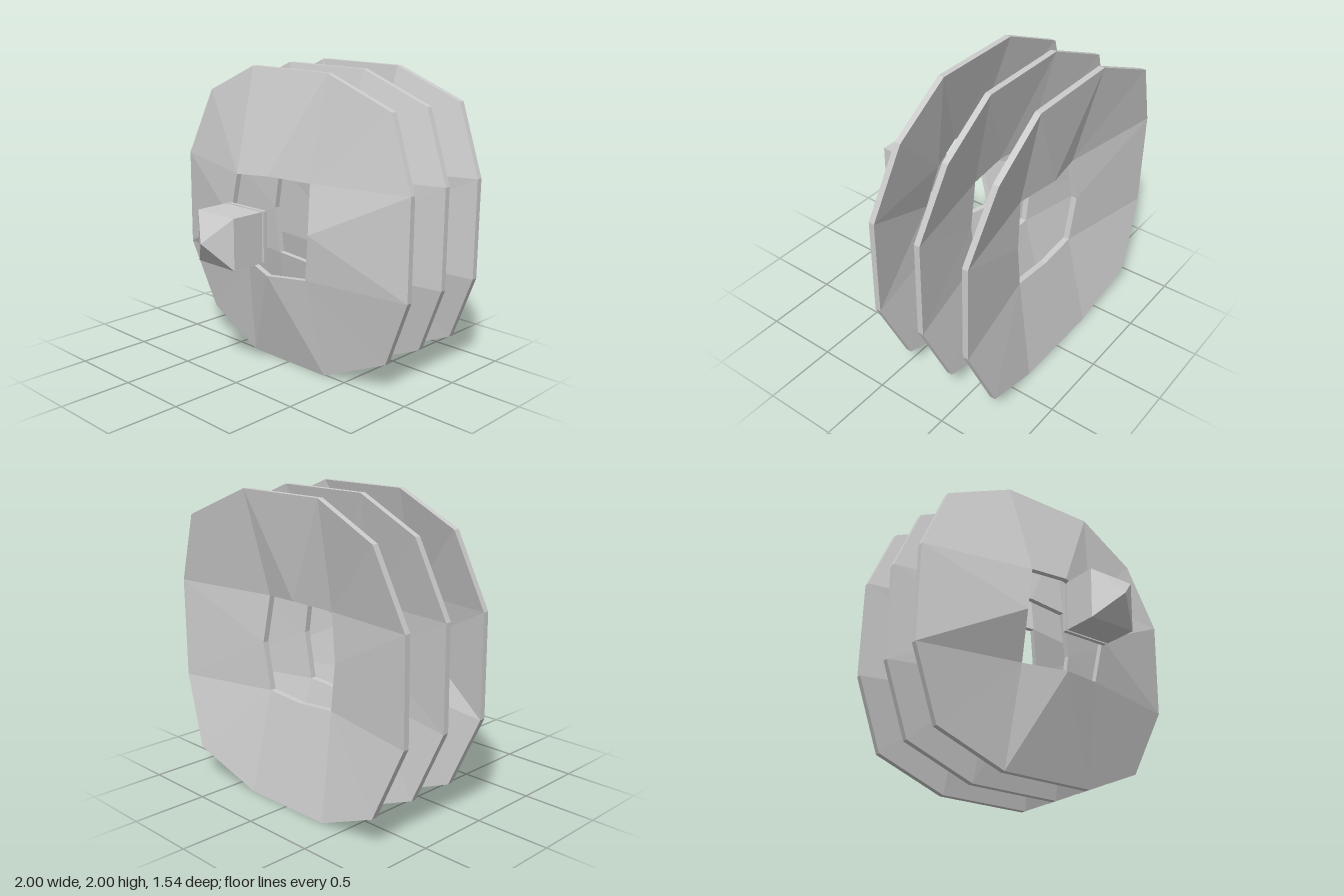
import * as THREE from 'three';

const THICKNESS = 0.04;
const CENTRE_Y = 1;

// rim corners [x, y, z], anticlockwise from the lower right
const OUTER = [
  [1, -0.333, 0.005], [1, 0.333, 0.005], [0.8, 0.8, -0.048], [0.333, 1, 0.012],
  [-0.333, 1, 0.012], [-0.8, 0.8, -0.025], [-1, 0.333, 0.02], [-1, -0.333, 0.02],
  [-0.8, -0.8, -0.025], [-0.333, -1, 0.012], [0.333, -1, 0.012], [0.8, -0.8, -0.048],
];

// corners of the central opening, anticlockwise from the right
const INNER = [
  [0.333, 0], [0.285, 0.315], [0, 0.333], [-0.285, 0.308],
  [-0.333, 0], [-0.285, -0.315], [0, -0.333], [0.285, -0.315],
];

// each plate: position, and how far every opening corner bulges forward
const PLATES = [
  { name: 'frontPlate', z: 0, bulge: [0.178, 0.11, 0.205, 0.21, 0.232, 0.11, 0.215, 0.15] },
  { name: 'middlePlate', z: -0.34, bulge: [0.155, 0.16, 0.175, 0.155, 0.155, 0.155, 0.16, 0.16] },
  { name: 'rearPlate', z: -0.68, bulge: [0.135, 0.16, 0.105, 0.16, 0.135, 0.145, 0.14, 0.145] },
];

function plateGeometry(bulge) {
  const inner = INNER.map(([x, y], i) => [x, y, bulge[i]]);
  const back = ([x, y, z]) => [x, y, z - THICKNESS];
  const positions = [];
  const tri = (a, b, c) => positions.push(...a, ...b, ...c);

  // front and back faces, one quarter at a time
  for (let q = 0; q < 4; q++) {
    const [a, b, c, d] = [0, 1, 2, 3].map((k) => OUTER[(3 * q + k) % 12]);
    const mid = inner[2 * q];
    const corner = inner[2 * q + 1];
    const previous = inner[(2 * q + 7) % 8];
    const faces = [[mid, a, b], [previous, a, mid], [mid, b, corner], [corner, b, c], [corner, c, d]];
    for (const [p, r, s] of faces) {
      tri(p, r, s);
      tri(back(p), back(s), back(r));
    }
  }

  // edge walls around the rim and the opening
  const wall = (loop) => loop.forEach((p, i) => {
    const n = loop[(i + 1) % loop.length];
    tri(p, back(p), back(n));
    tri(p, back(n), n);
  });
  wall(OUTER);
  wall([...inner].reverse());

  const geometry = new THREE.BufferGeometry();
  geometry.setAttribute('position', new THREE.Float32BufferAttribute(positions, 3));
  geometry.computeVertexNormals();
  return geometry;
}

export function createModel() {
  const group = new THREE.Group();
  const material = new THREE.MeshStandardMaterial({ color: 0xcccccc, flatShading: true });
  const add = (name, geometry, z) => {
    const mesh = new THREE.Mesh(geometry, material);
    mesh.name = name;
    mesh.position.set(0, CENTRE_Y, z);
    group.add(mesh);
    return mesh;
  };

  // three faceted dished plates, one behind another
  for (const { name, z, bulge } of PLATES) add(name, plateGeometry(bulge), z);

  // square floating emitter: base plate, neck, body
  const blocks = [
    ['emitterBase', 0.33, 0.37, 0.398],
    ['emitterNeck', 0.27, 0.398, 0.412],
    ['emitterBody', 0.33, 0.412, 0.645],
  ];
  for (const [name, width, z0, z1] of blocks) {
    add(name, new THREE.BoxGeometry(width, width, z1 - z0), (z0 + z1) / 2);
  }

  // pyramid tip
  const tip = new THREE.ConeGeometry(0.165 * Math.SQRT2, 0.125, 4, 1, true);
  tip.rotateY(Math.PI / 4).rotateX(Math.PI / 2);
  add('emitterTip', tip, 0.7075);

  return group;
}
